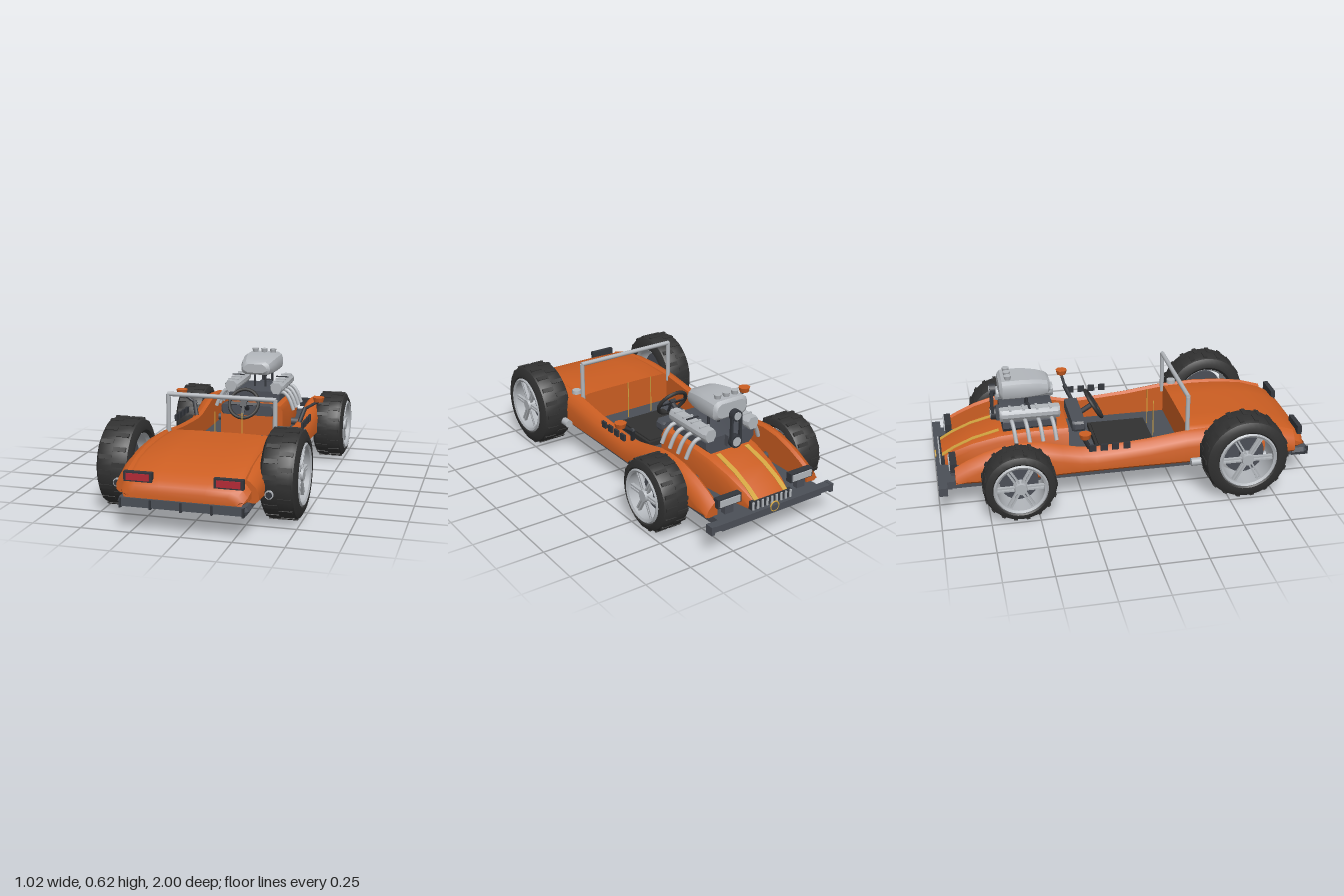
import * as THREE from 'three';
import { toCreasedNormals } from 'three/addons/utils/BufferGeometryUtils.js';

const mat = (name, color, side = THREE.FrontSide) => {
  const m = new THREE.MeshStandardMaterial({ color, side });
  m.name = name;
  return m;
};

// Loft closed cross-sections (counter-clockwise seen from +z) along ascending z
function loft(rows, section) {
  const pos = [], idx = [];
  const rings = rows.map(r => section(...r.slice(1)));
  const n = rings[0].length;
  rings.forEach((ring, i) => ring.forEach(([x, y]) => pos.push(x, y, rows[i][0])));
  for (let i = 0; i < rows.length - 1; i++) for (let j = 0; j < n; j++) {
    const a = i * n + j, b = i * n + (j + 1) % n;
    idx.push(a, b, b + n, a, b + n, a + n);
  }
  const e = (rows.length - 1) * n;
  for (let j = 1; j < n - 1; j++) idx.push(0, j + 1, j, e, e + j, e + j + 1);
  const g = new THREE.BufferGeometry();
  g.setAttribute('position', new THREE.Float32BufferAttribute(pos, 3));
  g.setIndex(idx);
  return toCreasedNormals(g, 0.55);
}
const mirrorPts = half => [...half, ...half.map(([x, y]) => [-x, y]).reverse()];

export function createModel() {
  const car = new THREE.Group();
  car.name = 'hotRod';
  const orange = mat('orangePaint', 0xcc5e22), slate = mat('slate', 0x4b4f57);
  const rubber = mat('rubber', 0x313131), silver = mat('silver', 0xb2b6bb, THREE.DoubleSide);
  const gold = mat('gold', 0xd2a440), red = mat('redLens', 0xb52a36), dark = mat('darkTrim', 0x33363c);

  const add = (name, geo, m, x = 0, y = 0, z = 0, parent = car) => {
    const mesh = new THREE.Mesh(geo, m);
    mesh.name = name;
    mesh.position.set(x, y, z);
    parent.add(mesh);
    return mesh;
  };
  const box = (name, m, w, h, d, x, y, z, parent) => add(name, new THREE.BoxGeometry(w, h, d), m, x, y, z, parent);
  const rod = (name, m, a, b, r, sides = 10) => {
    const A = new THREE.Vector3(...a), B = new THREE.Vector3(...b), d = B.clone().sub(A);
    const mesh = add(name, new THREE.CylinderGeometry(r, r, d.length(), sides), m);
    mesh.position.copy(A).add(B).multiplyScalar(0.5);
    mesh.quaternion.setFromUnitVectors(new THREE.Vector3(0, 1, 0), d.normalize());
    return mesh;
  };

  // Floor pan, bumpers and diffuser fins
  box('floorPan', slate, 0.62, 0.04, 1.94, 0, 0.148, 0);
  box('frontBumper', slate, 0.76, 0.03, 0.045, 0, 0.155, -0.977);
  box('frontBumperLip', slate, 0.62, 0.025, 0.06, 0, 0.137, -0.96);
  for (const s of [-1, 1]) box('bumperEnd', slate, 0.02, 0.045, 0.045, s * 0.37, 0.15, -0.977);
  add('rearBumper', loft([[0.9, 0.31], [0.965, 0.31], [0.985, 0.295]],
    w => mirrorPts([[w, 0.125], [w + 0.01, 0.145], [w, 0.168]])), slate);
  for (let i = -2; i <= 2; i++) box('diffuserFin', dark, 0.01, 0.045, 0.05, i * 0.15, 0.143, 0.97);
  add('bumperRing', new THREE.TorusGeometry(0.025, 0.004, 6, 20), gold, 0, 0.165, -0.997);

  // Rear deck
  add('rearDeck', loft([[0.32, 0.31, 0.338], [0.5, 0.315, 0.34], [0.65, 0.32, 0.332], [0.78, 0.325, 0.312],
    [0.88, 0.32, 0.28], [0.94, 0.31, 0.252], [0.965, 0.295, 0.23], [0.975, 0.28, 0.205]],
  (w, h) => mirrorPts([[w - 0.02, 0.168], [w, 0.185], [w, h - 0.05], [w - 0.025, h - 0.018], [w - 0.06, h - 0.003], [w * 0.4, h]])), orange);

  // Body rails that swell into the fenders
  const railRows = [[-0.91, 0.348, 0.24], [-0.85, 0.352, 0.272], [-0.76, 0.358, 0.31], [-0.66, 0.362, 0.338],
    [-0.56, 0.364, 0.348], [-0.46, 0.364, 0.34], [-0.36, 0.36, 0.315], [-0.26, 0.357, 0.293], [-0.18, 0.356, 0.287],
    [-0.05, 0.356, 0.294], [0.1, 0.357, 0.305], [0.3, 0.36, 0.33], [0.5, 0.362, 0.338], [0.65, 0.362, 0.33],
    [0.78, 0.36, 0.312], [0.9, 0.352, 0.275]];
  for (const s of [-1, 1]) {
    add('bodyRail', loft(railRows, (xo, h) => {
      const p = [[0.28, 0.165], [xo - 0.015, 0.165], [xo, 0.18], [xo, h - 0.07], [xo - 0.015, h - 0.035],
        [xo - 0.04, h - 0.01], [0.295, h], [0.28, h - 0.012]].map(([x, y]) => [s * x, y]);
      return s > 0 ? p : p.reverse();
    }), orange);
    for (let i = 0; i < 4; i++) box('sideVent', dark, 0.012, 0.035, 0.036, s * 0.358, 0.312, -0.025 - i * 0.06);

    // Tail lights
    box('tailLightFrame', dark, 0.142, 0.048, 0.025, s * 0.222, 0.264, 0.943);
    box('tailLight', red, 0.115, 0.033, 0.008, s * 0.222, 0.264, 0.957);

    // Headlights
    box('headlightFrame', dark, 0.14, 0.048, 0.035, s * 0.225, 0.235, -0.915);
    box('headlight', silver, 0.12, 0.034, 0.009, s * 0.225, 0.235, -0.934);
    box('headlightMount', slate, 0.05, 0.05, 0.03, s * 0.225, 0.19, -0.915);

    // Mirrors
    rod('mirrorStalk', dark, [s * 0.3, 0.28, -0.21], [s * 0.325, 0.36, -0.245], 0.012);
    rod('mirrorArm', dark, [s * 0.31, 0.345, -0.24], [s * 0.4, 0.4, -0.252], 0.008);
    const mirror = add('mirror', new THREE.CylinderGeometry(0.033, 0.026, 0.026, 8), orange, s * 0.4, 0.41, -0.25);
    mirror.rotation.y = Math.PI / 8;

    // Side exhausts
    rod('exhaustPipe', silver, [s * 0.38, 0.185, 0.315], [s * 0.38, 0.185, 0.825], 0.021, 14);
    rod('exhaustTip', dark, [s * 0.38, 0.185, 0.82], [s * 0.38, 0.185, 0.828], 0.016, 14);

    // Seat piping
    box('seatPiping', gold, 0.004, 0.21, 0.004, s * 0.075, 0.305, 0.18);
  }
  add('fuelCap', new THREE.CylinderGeometry(0.024, 0.026, 0.02, 12), silver, 0.295, 0.343, 0.37);

  // Bonnet, stripes and grille
  const hood = [[-0.965, 0.12, 0.212], [-0.9, 0.135, 0.25], [-0.8, 0.15, 0.292], [-0.66, 0.165, 0.328], [-0.5, 0.175, 0.345], [-0.3, 0.182, 0.35]];
  add('bonnet', loft(hood, (w, h) => mirrorPts([[w, 0.165], [w, h - 0.035], [w - 0.015, h - 0.008], [w - 0.035, h]])), orange);
  for (const s of [-1, 1]) add('bonnetStripe', loft(hood.slice(0, 4), (w, h) =>
    [[-0.013, h - 0.003], [0.013, h - 0.003], [0.013, h + 0.003], [-0.013, h + 0.003]]), gold, s * 0.09);
  box('grille', dark, 0.25, 0.045, 0.02, 0, 0.19, -0.963);
  for (let i = 0; i < 9; i++) box('grilleBar', silver, 0.01, 0.042, 0.012, (i - 4) * 0.029, 0.19, -0.974);

  // Cockpit
  box('seat', rubber, 0.31, 0.03, 0.32, 0, 0.18, 0.015);
  box('seatCushion', rubber, 0.28, 0.01, 0.29, 0, 0.197, 0.015);
  add('dashboard', loft([[-0.275, 0.145], [-0.26, 0.155], [-0.215, 0.155], [-0.205, 0.145]],
    w => mirrorPts([[w - 0.01, 0.305], [w, 0.32], [w, 0.35], [w - 0.01, 0.362]])), slate);
  rod('steeringColumn', dark, [0, 0.39, -0.135], [0, 0.325, -0.24], 0.014);
  const steering = new THREE.Group();
  steering.name = 'steeringWheel';
  steering.position.set(0, 0.388, -0.135);
  steering.rotation.x = -0.53;
  car.add(steering);
  add('steeringRim', new THREE.TorusGeometry(0.083, 0.01, 8, 28), rubber, 0, 0, 0, steering);
  box('steeringHub', dark, 0.035, 0.04, 0.02, 0, 0, 0, steering);
  for (const a of [0, Math.PI, -Math.PI / 2]) {
    const sp = box('steeringSpoke', dark, 0.075, 0.016, 0.007, Math.cos(a) * 0.045, Math.sin(a) * 0.045, 0, steering);
    sp.rotation.z = a;
  }

  // Roll bar
  for (const s of [-1, 1]) rod('rollBarPost', silver, [s * 0.286, 0.29, 0.315], [s * 0.286, 0.522, 0.315], 0.012);
  rod('rollBarTop', silver, [-0.29, 0.523, 0.315], [0.29, 0.523, 0.315], 0.012);

  // Engine block, rocker covers and headers
  add('engineBlock', loft([[-0.64, 0.15], [-0.36, 0.15]],
    w => mirrorPts([[w - 0.03, 0.33], [w, 0.36], [w, 0.395], [w - 0.03, 0.412]])), slate);
  for (const s of [-1, 1]) {
    add('rockerCover', loft([[-0.655, 0.03], [-0.64, 0.039], [-0.355, 0.039], [-0.34, 0.03]],
      w => mirrorPts([[w * 0.55, 0.405], [w, 0.43], [w, 0.45], [w * 0.6, 0.468]])), silver, s * 0.133);
    box('coverRail', dark, 0.072, 0.004, 0.012, s * 0.133, 0.476, -0.5);
    for (let i = 0; i < 4; i++) {
      const z = -0.6 + i * 0.07;
      box('coverRib', silver, 0.06, 0.008, 0.012, s * 0.133, 0.468, z);
      const path = new THREE.CatmullRomCurve3([[0.13, 0.41], [0.175, 0.405], [0.205, 0.37], [0.23, 0.31]]
        .map(([x, y], k) => new THREE.Vector3(s * x, y, z + k * 0.006)));
      add('headerPipe', new THREE.TubeGeometry(path, 10, 0.011, 8), silver);
    }
    rod('scoopStay', dark, [s * 0.032, 0.4, -0.5], [s * 0.032, 0.51, -0.5], 0.007);
    box('driveBelt', dark, 0.012, 0.15, 0.015, s * 0.027, 0.455, -0.682);
  }

  // Intake scoop with trumpets, and drive pulleys
  add('intakeScoop', loft([[-0.645, 0.09, 0.51, 0.585], [-0.63, 0.106, 0.497, 0.598], [-0.52, 0.106, 0.497, 0.6],
    [-0.44, 0.096, 0.498, 0.59], [-0.39, 0.085, 0.502, 0.578], [-0.375, 0.07, 0.515, 0.565]],
  (w, b, t) => mirrorPts([[w - 0.025, b], [w - 0.006, b + 0.012], [w, b + 0.03], [w, t - 0.035], [w - 0.008, t - 0.014], [w - 0.028, t]])), silver);
  for (const x of [-0.053, 0, 0.053]) add('intakeTrumpet', new THREE.CylinderGeometry(0.02, 0.015, 0.026, 12), silver, x, 0.607, -0.597);
  for (const [y, r] of [[0.525, 0.03], [0.385, 0.035]]) {
    rod('pulleyRim', dark, [0, y, -0.692], [0, y, -0.66], r, 18);
    rod('pulleyFace', silver, [0, y, -0.695], [0, y, -0.69], r * 0.7, 18);
  }
  box('pulleyMount', slate, 0.07, 0.06, 0.03, 0, 0.385, -0.65);

  // Wheels: axis along local y, outer face towards +y
  const makeWheel = (name, R, rim, w) => {
    const g = new THREE.Group();
    g.name = name;
    const h = w / 2, V = (r, y) => new THREE.Vector2(r, y);
    const tyre = new THREE.LatheGeometry([V(rim, -h + 0.015), V(rim + 0.015, -h), V(R - 0.04, -h), V(R - 0.012, -h + 0.015), V(R - 0.003, -h + 0.035),
      V(R - 0.003, h - 0.035), V(R - 0.012, h - 0.015), V(R - 0.04, h), V(rim + 0.015, h), V(rim, h - 0.015)], 40);
    add('tyre', toCreasedNormals(tyre, 0.5), rubber, 0, 0, 0, g);
    for (let i = 0; i < 36; i++) {
      const a = i / 36 * Math.PI * 2, y = (i % 2 ? 1 : -1) * w * 0.19;
      const t = box('treadBlock', rubber, 0.012, w * 0.36, R * 0.1, Math.cos(a) * (R - 0.006), y, Math.sin(a) * (R - 0.006), g);
      t.rotation.y = -a;
    }
    const barrel = new THREE.LatheGeometry([V(rim, -h + 0.012), V(rim - 0.012, -h + 0.03), V(rim - 0.012, h - 0.035),
      V(rim - 0.012, h - 0.004), V(rim, h + 0.003), V(rim + 0.008, h - 0.005)], 36);
    add('rim', toCreasedNormals(barrel, 0.5), silver, 0, 0, 0, g);
    add('brakeDisc', new THREE.CylinderGeometry(rim * 0.75, rim * 0.75, 0.02, 28), slate, 0, -0.01, 0, g);
    add('axleStub', new THREE.CylinderGeometry(0.025, 0.025, w, 12), slate, 0, -0.01, 0, g);
    add('hub', new THREE.CylinderGeometry(0.03, 0.038, 0.04, 16), silver, 0, h - 0.025, 0, g);
    for (let i = 0; i < 6; i++) for (const o of [-1, 1]) {
      const a = i / 6 * Math.PI * 2 + Math.PI / 6, pivot = new THREE.Group();
      pivot.name = 'spoke';
      pivot.rotation.y = a;
      box('spokeBar', silver, rim - 0.03, 0.016, 0.009, rim / 2 + 0.01, h - 0.025, o * 0.008, pivot);
      g.add(pivot);
    }
    return g;
  };
  for (const s of [-1, 1]) for (const [name, R, rim, w, x, z] of
    [['rearWheel', 0.226, 0.148, 0.182, 0.413, 0.59], ['frontWheel', 0.189, 0.132, 0.172, 0.419, -0.595]]) {
    const wheel = makeWheel(name, R, rim, w);
    wheel.position.set(s * x, R + 0.002, z);
    wheel.rotation.z = -s * Math.PI / 2;
    car.add(wheel);
    rod('axle', slate, [0, R, z], [s * x, R, z], 0.02);
  }
  return car;
}
